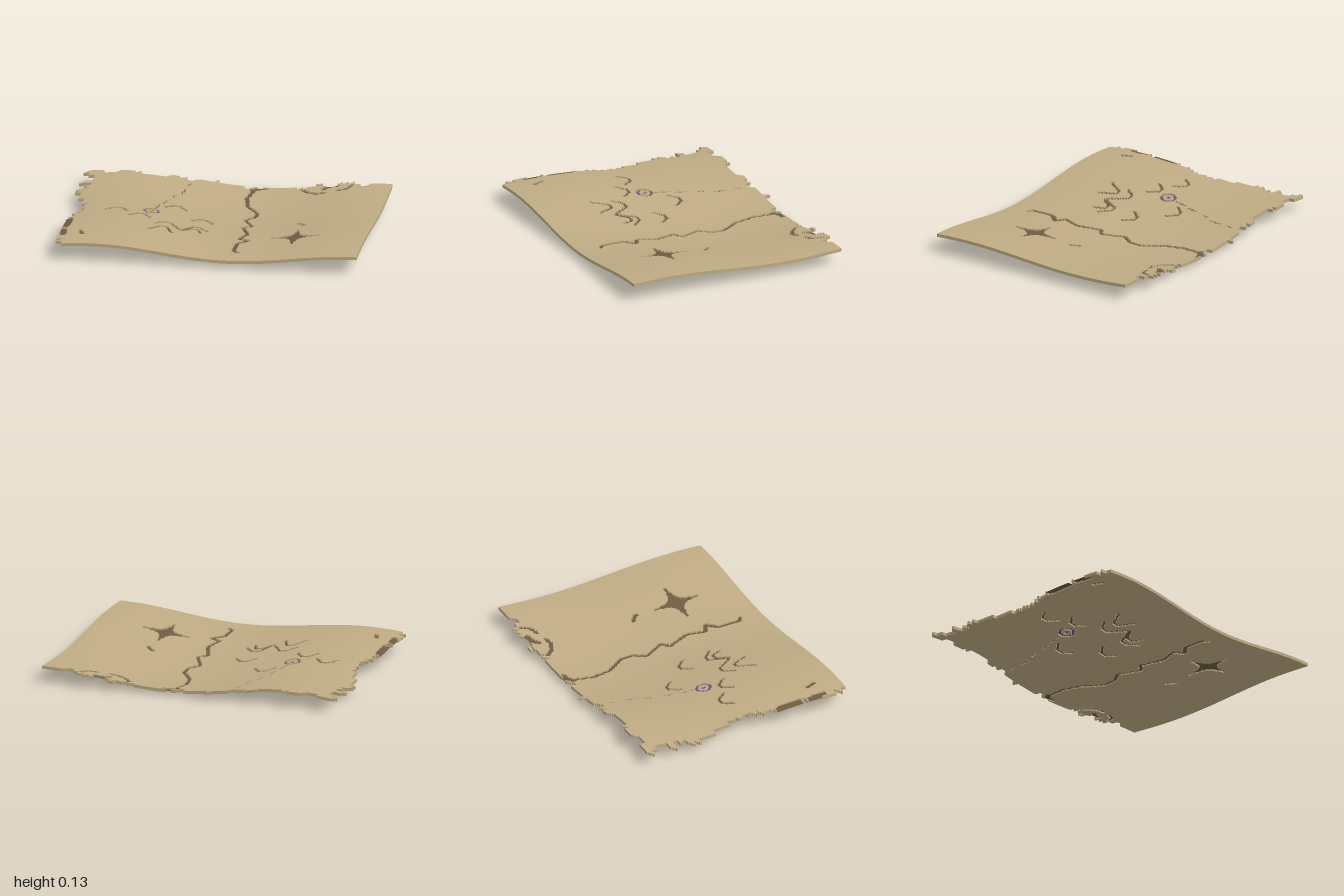
import * as THREE from 'three';

const CELL = 0.01, BLOCK = 4, NX = 200, NZ = 152, HALF = 0.01;

// Gentle wave of the sheet's middle surface
const wave = (x, z) => 0.066 - 0.035 * Math.cos(3.7 * (x - 0.15)) - 0.021 * Math.cos(3.7 * (z + 0.33));
const waveNormal = (x, z, s) => new THREE.Vector3(
  -0.1295 * Math.sin(3.7 * (x - 0.15)), 1, -0.0777 * Math.sin(3.7 * (z + 0.33))).normalize().multiplyScalar(s);

// Torn back edge, left to right
const backEdge = [[-1, -0.68], [-0.96, -0.72], [-0.87, -0.72], [-0.87, -0.68], [-0.79, -0.68], [-0.75, -0.72],
  [-0.67, -0.72], [-0.67, -0.68], [-0.63, -0.72], [-0.63, -0.68], [-0.46, -0.68], [-0.42, -0.72], [-0.38, -0.72],
  [-0.38, -0.69], [-0.33, -0.72], [-0.33, -0.68], [-0.3, -0.68], [-0.25, -0.72], [-0.17, -0.72], [-0.13, -0.76],
  [-0.13, -0.72], [0.04, -0.72], [0.04, -0.68], [0.07, -0.68], [0.1, -0.72], [0.38, -0.72], [0.38, -0.68],
  [0.42, -0.72], [0.42, -0.69], [0.46, -0.72], [0.5, -0.72], [0.5, -0.76], [0.54, -0.76], [0.54, -0.72],
  [0.62, -0.72], [0.67, -0.76], [0.67, -0.73], [0.71, -0.76], [0.71, -0.72], [0.75, -0.76], [0.75, -0.72],
  [0.79, -0.72], [0.79, -0.68], [0.83, -0.68], [0.87, -0.72], [1, -0.72]];
// Torn left edge of the page, front to back
const sideEdge = [[1, 0.76], [-0.92, 0.76], [-0.92, 0.72], [-0.96, 0.72], [-0.92, 0.67], [-0.96, 0.67], [-0.96, 0.46],
  [-0.92, 0.46], [-0.92, 0.43], [-0.96, 0.43], [-0.96, 0.25], [-0.92, 0.21], [-0.92, 0.165], [-0.96, 0.165],
  [-0.88, 0.12], [-0.92, 0.12], [-0.88, 0.08], [-0.88, 0.06], [-0.92, 0.1], [-0.88, 0.04], [-0.9, 0],
  [-0.88, -0.03], [-0.9, -0.05], [-0.88, -0.09], [-0.92, -0.09], [-0.92, -0.21], [-0.96, -0.21], [-0.96, -0.34],
  [-1, -0.34], [-0.96, -0.38], [-1, -0.38], [-0.96, -0.42], [-0.92, -0.43], [-0.96, -0.47], [-0.92, -0.47],
  [-0.92, -0.51], [-1, -0.51], [-0.96, -0.55], [-0.92, -0.55], [-0.92, -0.64], [-0.96, -0.64], [-0.96, -0.68]];
const outline = [...backEdge, ...sideEdge];

// Pen strokes: width, then points
const strokes = [
  // river
  [0.03, [0.19, -0.7], [0.11, -0.68], [0.085, -0.53], [0.11, -0.4], [0.2, -0.26], [0.19, -0.18], [0.14, -0.11],
    [0.17, -0.05], [0.21, 0.03], [0.155, 0.07], [0.18, 0.14], [0.21, 0.22], [0.17, 0.34], [0.24, 0.37],
    [0.18, 0.43], [0.17, 0.58], [0.21, 0.61]],
  [0.045, [0.1, -0.67], [0.14, -0.7]],
  // bay by the back edge
  [0.03, [0.42, -0.68], [0.46, -0.63], [0.53, -0.597], [0.58, -0.61]],
  [0.03, [0.65, -0.63], [0.71, -0.65], [0.74, -0.71]],
  [0.04, [0.56, -0.67], [0.58, -0.7], [0.64, -0.71]],
  [0.02, [0.505, -0.735], [0.54, -0.735]],
  // small island and marks by the side edge
  [0.03, [0.5, -0.01], [0.525, 0.01], [0.55, 0.04]],
  [0.05, [-0.94, 0.26], [-0.935, 0.42]],
  [0.045, [-0.94, 0.49], [-0.93, 0.59]],
  [0.03, [-0.825, 0.535], [-0.805, 0.59]],
  // dashed trail
  [0.013, [-0.295, -0.635], [-0.305, -0.6]],
  [0.013, [-0.315, -0.53], [-0.325, -0.45]],
  [0.013, [-0.36, -0.4], [-0.37, -0.36]],
  [0.013, [-0.395, -0.28], [-0.405, -0.22]],
  [0.013, [-0.425, -0.18], [-0.44, -0.09]],
];
// Mountains: peak, then left foot and right foot
for (const [x, z, lx = x - 0.07, lz = z + 0.07, rx = x + 0.07, rz = z + 0.07] of [
  [-0.67, -0.03], [-0.315, -0.22], [-0.505, 0.06], [-0.115, -0.02],
  [-0.32, 0.17, -0.39, 0.24, -0.215, 0.3], [-0.13, 0.17, -0.215, 0.3, -0.05, 0.245],
  [-0.325, 0.275, -0.41, 0.385, -0.26, 0.385], [-0.13, 0.22, -0.21, 0.3, -0.085, 0.3]]) {
  strokes.push([0.022, [lx, lz], [x - 0.02, z + 0.008], [x + 0.02, z + 0.008], [rx, rz]]);
}

function inside(x, z) {
  let hit = false;
  outline.forEach(([ax, az], i) => {
    const [bx, bz] = outline[(i + 1) % outline.length];
    if ((az > z) !== (bz > z) && x < ax + (bx - ax) * (z - az) / (bz - az)) hit = !hit;
  });
  return hit;
}

function segmentDistance(x, z, [ax, az], [bx, bz]) {
  const dx = bx - ax, dz = bz - az;
  const t = THREE.MathUtils.clamp(((x - ax) * dx + (z - az) * dz) / (dx * dx + dz * dz), 0, 1);
  return Math.hypot(x - ax - t * dx, z - az - t * dz);
}

// Compass star: a disc with four tapering points
function inStar(x, z) {
  const dx = Math.abs(x - 0.53), dz = Math.abs(z - 0.32);
  const spike = (along, across) => along < 0.16 && across < 0.006 + 0.045 * (1 - along / 0.16) ** 1.5;
  return Math.hypot(dx, dz) < 0.063 || spike(dx, dz) || spike(dz, dx);
}

const NONE = 0, SHEET = 1, INK = 2, RING = 3;
function kindAt(x, z) {
  if (!inside(x, z)) return NONE;
  const r = Math.hypot(x + 0.455, z + 0.025);
  if (r < 0.015 || (r > 0.034 && r < 0.056)) return RING;
  if (inStar(x, z)) return INK;
  for (const [w, ...pts] of strokes) {
    for (let i = 1; i < pts.length; i++) if (segmentDistance(x, z, pts[i - 1], pts[i]) < w / 2) return INK;
  }
  return SHEET;
}

class Surface {
  pos = [];
  nor = [];
  quad(points, normals) {
    for (const i of [0, 1, 2, 0, 2, 3]) {
      this.pos.push(...points[i]);
      this.nor.push(...normals[i]);
    }
  }
  // Patch of the waved surface, offset up or down, facing side s
  patch(x0, z0, size, offset, s) {
    let c = [[x0, z0 + size], [x0 + size, z0 + size], [x0 + size, z0], [x0, z0]];
    if (s < 0) c.reverse();
    this.quad(c.map(([x, z]) => [x, wave(x, z) + offset, z]), c.map(([x, z]) => waveNormal(x, z, s).toArray()));
  }
  // Upright cut edge facing (dx, dz), centred on (x, z)
  wall(x, z, dx, dz) {
    const h = CELL / 2, ax = x - dz * h, az = z + dx * h, bx = x + dz * h, bz = z - dx * h;
    const ya = wave(ax, az), yb = wave(bx, bz);
    this.quad([[ax, ya - HALF, az], [bx, yb - HALF, bz], [bx, yb + HALF, bz], [ax, ya + HALF, az]],
      Array(4).fill([dx, 0, dz]));
  }
  mesh(name, material) {
    const g = new THREE.BufferGeometry();
    g.setAttribute('position', new THREE.Float32BufferAttribute(this.pos, 3));
    g.setAttribute('normal', new THREE.Float32BufferAttribute(this.nor, 3));
    const m = new THREE.Mesh(g, material);
    m.name = name;
    return m;
  }
}

export function createModel() {
  const paint = (name, color, side = THREE.FrontSide) => new THREE.MeshStandardMaterial({ name, color, side });
  const parchment = paint('parchment', 0xbfab84);
  const brownInk = paint('brownInk', 0x6e5c42, THREE.DoubleSide);
  const purpleInk = paint('purpleInk', 0x6d4a93, THREE.DoubleSide);

  const X = i => -1 + i * CELL, Z = j => -0.76 + j * CELL;
  const kinds = [];
  for (let j = 0; j < NZ; j++) for (let i = 0; i < NX; i++) kinds.push(kindAt(X(i + 0.5), Z(j + 0.5)));
  const kind = (i, j) => (i < 0 || j < 0 || i >= NX || j >= NZ ? NONE : kinds[j * NX + i]);

  const sheet = new Surface(), edges = new Surface(), ink = new Surface(), ring = new Surface();
  const bothSides = (i, j, size) => {
    sheet.patch(X(i), Z(j), size, HALF, 1);
    sheet.patch(X(i), Z(j), size, -HALF, -1);
  };

  // Plain areas use large patches; torn edges and pen cuts use small ones
  for (let bj = 0; bj < NZ; bj += BLOCK) for (let bi = 0; bi < NX; bi += BLOCK) {
    const cells = [];
    for (let j = bj; j < bj + BLOCK; j++) for (let i = bi; i < bi + BLOCK; i++) cells.push([i, j]);
    const plain = cells.every(([i, j]) => kind(i, j) === SHEET);
    if (plain) bothSides(bi, bj, CELL * BLOCK);
    for (const [i, j] of cells) {
      const k = kind(i, j);
      // The pen marks lie sunk inside cuts through the sheet
      if (k === INK) ink.patch(X(i), Z(j), CELL, 0, 1);
      if (k === RING) ring.patch(X(i), Z(j), CELL, 0, 1);
      if (k !== SHEET) continue;
      if (!plain) bothSides(i, j, CELL);
      for (const [dx, dz] of [[1, 0], [-1, 0], [0, 1], [0, -1]]) {
        if (kind(i + dx, j + dz) !== SHEET) edges.wall(X(i + 0.5 + dx / 2), Z(j + 0.5 + dz / 2), dx, dz);
      }
    }
  }

  const group = new THREE.Group();
  group.name = 'parchmentMap';
  group.add(sheet.mesh('parchmentSheet', parchment), edges.mesh('sheetEdges', parchment),
    ink.mesh('inkDrawing', brownInk), ring.mesh('purpleMarker', purpleInk));
  return group;
}
